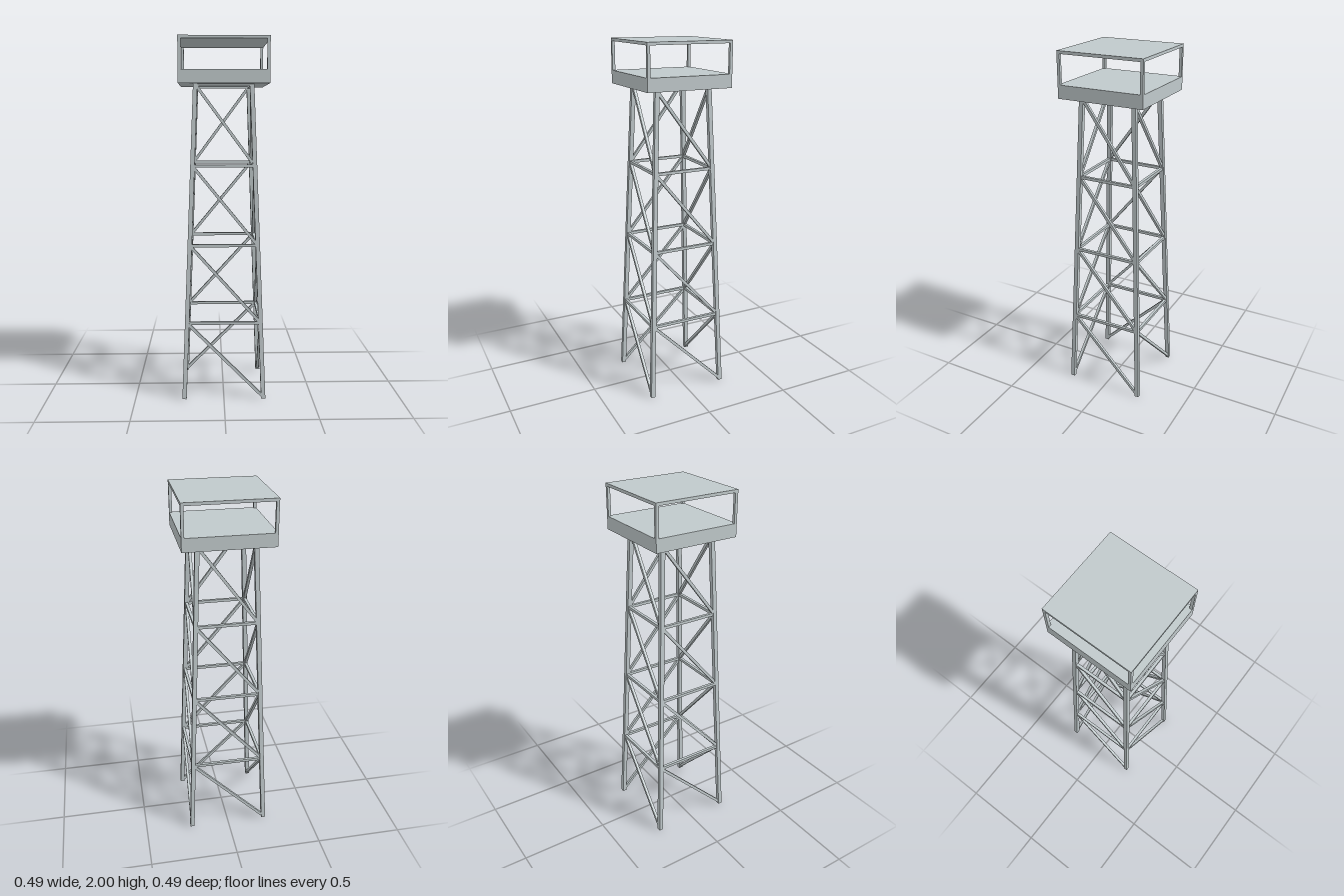
import * as THREE from 'three';

const TOP = 1.752, BAYS = 4;
const LEG_W = 0.024, BRACE_W = 0.016;

// Half-width of the tapering tower at height y
const halfWidth = (y) => THREE.MathUtils.lerp(0.223, 0.153, y / TOP);

function box(name, w, h, d, x, y, z, material) {
  const mesh = new THREE.Mesh(new THREE.BoxGeometry(w, h, d), material);
  mesh.name = name;
  mesh.position.set(x, y, z);
  return mesh;
}

// Square bar between two points
function bar(name, a, b, width, material) {
  const dir = b.clone().sub(a);
  const mid = a.clone().add(b).multiplyScalar(0.5);
  const mesh = box(name, width, dir.length(), width, mid.x, mid.y, mid.z, material);
  mesh.quaternion.setFromUnitVectors(new THREE.Vector3(0, 1, 0), dir.normalize());
  return mesh;
}

export function createModel() {
  const steel = new THREE.MeshStandardMaterial({ color: 0xc0c9cb });
  steel.name = 'light grey steel';
  const model = new THREE.Group();
  model.name = 'lookoutTower';

  // Corner point of the tower, counted around the four legs
  const corners = [[1, 1], [1, -1], [-1, -1], [-1, 1]];
  const corner = (i, y) => {
    const [sx, sz] = corners[i % 4];
    return new THREE.Vector3(sx * halfWidth(y), y, sz * halfWidth(y));
  };

  for (let i = 0; i < 4; i++) {
    // Leaning leg
    model.add(bar('leg', corner(i, 0.001), corner(i, TOP + 0.01), LEG_W, steel));

    // One diagonal and one tie per bay, running the same way round on every side
    const side = new THREE.Group();
    side.name = 'sideBracing';
    for (let b = 0; b < BAYS; b++) {
      const y0 = Math.max(0.008, (TOP * b) / BAYS), y1 = (TOP * (b + 1)) / BAYS;
      side.add(bar('diagonalBrace', corner(i + 1, y0), corner(i, y1), BRACE_W, steel));
      side.add(bar('horizontalTie', corner(i, y1), corner(i + 1, y1), BRACE_W, steel));
    }
    model.add(side);

    // Roof post
    const [sx, sz] = corners[i];
    model.add(box('roofPost', 0.016, 0.165, 0.016, sx * 0.235, 1.906, sz * 0.235, steel));
  }

  // Platform and flat roof
  model.add(box('platform', 0.486, 0.072, 0.486, 0, 1.791, 0, steel));
  model.add(box('roof', 0.486, 0.016, 0.486, 0, 1.992, 0, steel));
  return model;
}
